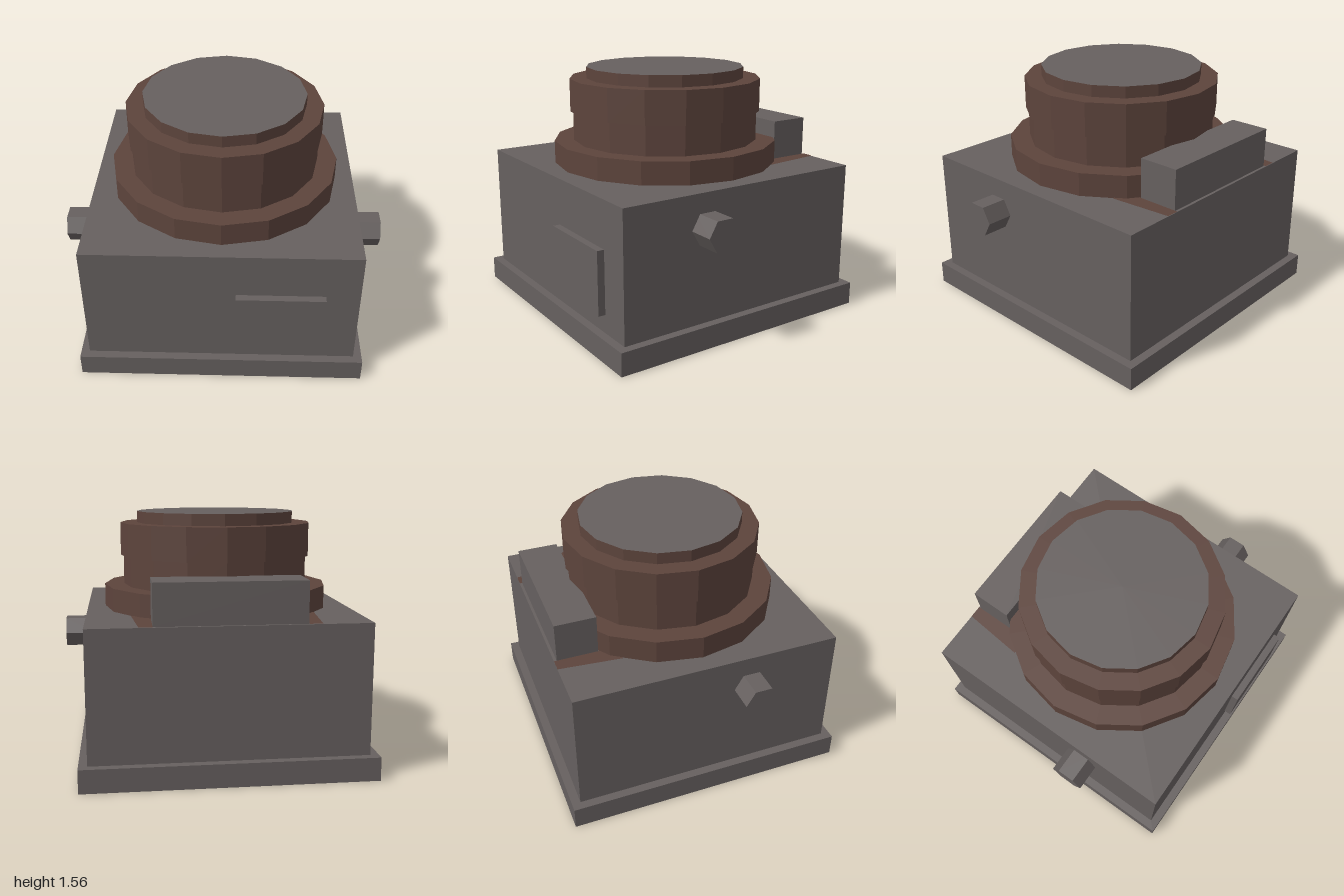
import * as THREE from 'three';

export function createModel() {
  const model = new THREE.Group();
  model.name = 'bunkerWithDrum';

  const grey = new THREE.MeshStandardMaterial({ color: 0x66605f });
  grey.name = 'warm grey';
  const brown = new THREE.MeshStandardMaterial({ color: 0x5d443c });
  brown.name = 'rust brown';
  grey.flatShading = brown.flatShading = true;

  const add = (name, geometry, material) => {
    const mesh = new THREE.Mesh(geometry, material);
    mesh.name = name;
    model.add(mesh);
    return mesh;
  };
  // Box given by its lower and upper limits on each axis
  const box = (name, [x0, x1], [y0, y1], [z0, z1]) =>
    add(name, new THREE.BoxGeometry(x1 - x0, y1 - y0, z1 - z0), grey)
      .position.set((x0 + x1) / 2, (y0 + y1) / 2, (z0 + z1) / 2);

  // Housing
  box('plinth', [-0.89, 0.89], [0, 0.145], [-0.89, 0.89]);
  box('body', [-0.837, 0.837], [0.145, 0.948], [-0.837, 0.837]);
  box('frontPanel', [0.09, 0.63], [0.26, 0.655], [0.837, 0.882]);
  box('rearBox', [-0.45, 0.45], [0.948, 1.2], [-0.82, -0.565]);

  // Stepped sixteen-sided drum; only the lid has a grey top
  const tiers = [
    ['drumFoot', 0.725, 0.948, 1.093],
    ['drumLower', 0.6, 1.093, 1.28],
    ['drumUpper', 0.618, 1.28, 1.49],
    ['drumLid', 0.51, 1.49, 1.562],
  ];
  for (const [name, radius, y0, y1] of tiers) {
    const top = name === 'drumLid' ? grey : brown;
    add(name, new THREE.CylinderGeometry(radius, radius, y1 - y0, 16), [brown, top, brown])
      .position.y = (y0 + y1) / 2;
  }

  for (const side of [-1, 1]) {
    // Hexagonal side pins, with corners pointing forward and back
    const pin = add(side < 0 ? 'rightPin' : 'leftPin',
      new THREE.CylinderGeometry(0.108, 0.108, 0.2, 6), grey);
    pin.rotation.z = Math.PI / 2;
    pin.position.set(side * 0.9, 0.732, 0.272);

    // Tapered brown strips on the deck beside the rear box
    const strip = new THREE.Shape([
      [0.45, 0.45], [0.567, 0.45], [0.53, 0.837], [0.45, 0.837],
    ].map(([x, z]) => new THREE.Vector2(side * x, z)));
    add(side < 0 ? 'rightDeckStrip' : 'leftDeckStrip',
      new THREE.ShapeGeometry(strip).rotateX(-Math.PI / 2), brown).position.y = 0.951;
  }

  return model;
}
